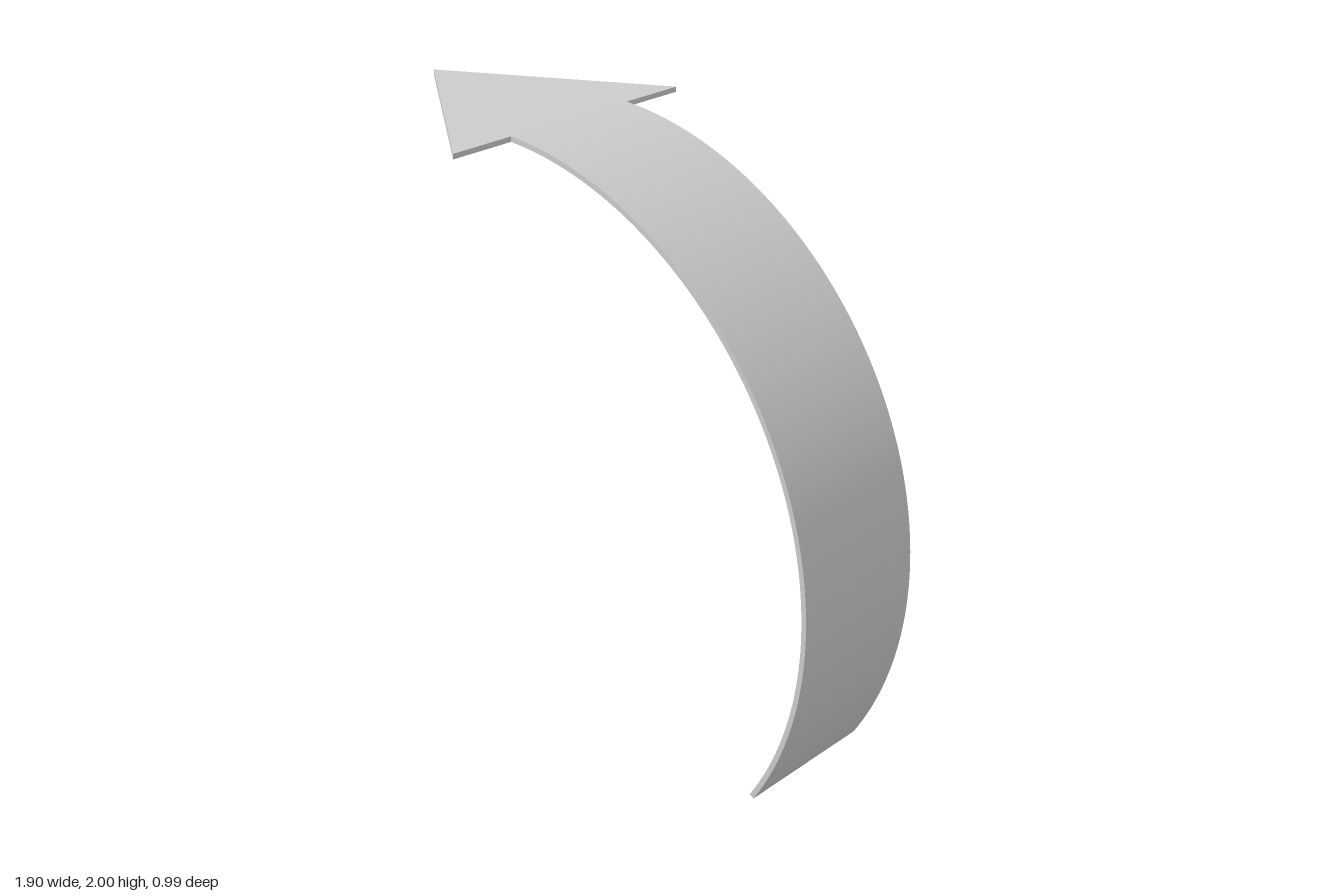
import * as THREE from 'three';
import { toCreasedNormals } from 'three/addons/utils/BufferGeometryUtils.js';

const OUTER = 1.302, THICK = 0.018, INNER = OUTER - THICK;
const CX = -0.357, CY = 0.667;          // centre of the bend
const TILT = 0.049;                     // slope of the head
const START = -Math.asin(CY / OUTER);   // tail end, resting on the ground
const END = Math.PI / 2 - TILT;         // where the head begins
const HALF_WIDTH = 0.258, HEAD_HALF_WIDTH = 0.497, HEAD_LENGTH = 0.658;

export function createModel() {
  const group = new THREE.Group();
  group.name = 'curvedArrow';
  const material = new THREE.MeshStandardMaterial({ color: 0xcccccc });

  // Curved strip: thin arc section extruded across its width
  const section = new THREE.Shape();
  section.absarc(0, 0, OUTER, START, END, false);
  section.absarc(0, 0, INNER, END, START, true);
  const strip = new THREE.ExtrudeGeometry(section, {
    depth: 2 * HALF_WIDTH, bevelEnabled: false, curveSegments: 64,
  });
  strip.translate(CX, CY, -HALF_WIDTH);
  const shaft = new THREE.Mesh(toCreasedNormals(strip, 0.5), material);
  shaft.name = 'shaft';
  group.add(shaft);

  // Flat triangular head, continuing the strip along its tangent
  const triangle = new THREE.Shape([
    new THREE.Vector2(0, HEAD_HALF_WIDTH),
    new THREE.Vector2(-HEAD_LENGTH, 0),
    new THREE.Vector2(0, -HEAD_HALF_WIDTH),
  ]);
  const plate = new THREE.ExtrudeGeometry(triangle, { depth: THICK, bevelEnabled: false });
  plate.rotateX(-Math.PI / 2);
  const head = new THREE.Mesh(plate, material);
  head.name = 'arrowHead';
  head.position.set(CX + INNER * Math.cos(END), CY + INNER * Math.sin(END), 0);
  head.rotation.z = -TILT;
  group.add(head);

  return group;
}
